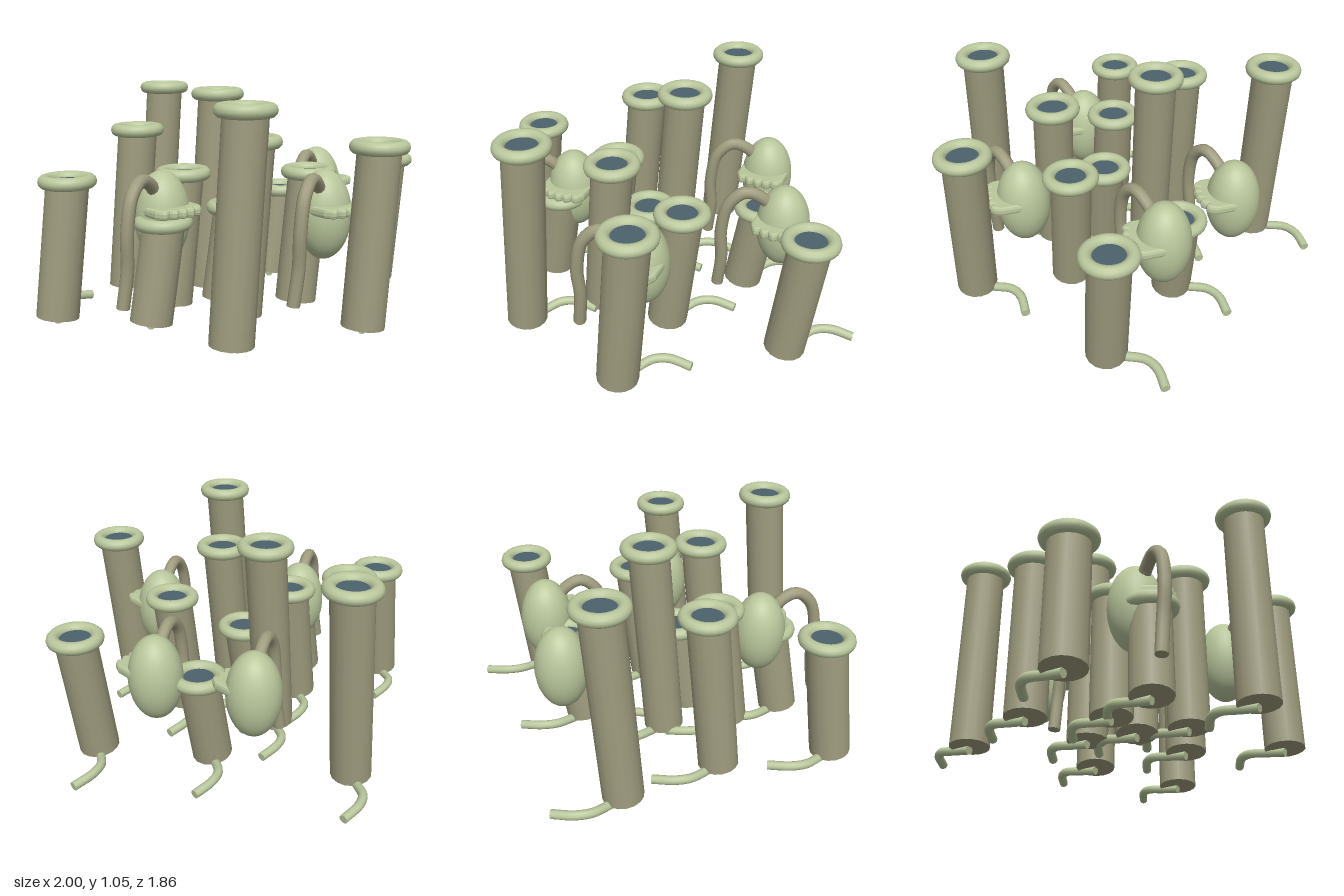
import * as THREE from 'three';

const green = new THREE.MeshStandardMaterial({ color: 0xb9c79c });
green.name = 'paleGreen';
const tan = new THREE.MeshStandardMaterial({ color: 0x9e9b7d });
tan.name = 'driedTan';
const dark = new THREE.MeshStandardMaterial({ color: 0x4b626b });
dark.name = 'darkHollow';

// rim centres: x, z, height
const TUBES = [
  [0.08, -0.72, 1.02], [-0.31, -0.4, 0.84], [-0.83, -0.185, 0.665], [0.01, -0.15, 1.02],
  [0.43, -0.135, 0.49], [-0.3, -0.025, 0.665], [-0.08, 0.085, 0.49], [-0.54, 0.15, 0.49],
  [-0.155, 0.32, 0.84], [0.195, 0.32, 0.665], [0.79, 0.3, 0.665], [-0.44, 0.6, 1.02],
  [0.155, 0.795, 0.84],
];
// bulb centres: x, z
const BULBS = [[0.365, -0.43], [0.58, -0.01], [-0.5, 0.085], [0.09, 0.53]];
const LEAN = 0.075, BASE = 0.04;

function add(group, name, geometry, material) {
  const mesh = new THREE.Mesh(geometry, material);
  mesh.name = name;
  group.add(mesh);
  return mesh;
}

// round hose through points, closed with end discs
function hose(group, name, pts, radius, material) {
  const curve = new THREE.CatmullRomCurve3(pts.map((p) => new THREE.Vector3(...p)));
  add(group, name, new THREE.TubeGeometry(curve, 32, radius, 10), material);
  for (const t of [0, 1]) {
    const cap = add(group, name + 'End', new THREE.CircleGeometry(radius, 10), material);
    const p = curve.getPoint(t);
    cap.position.copy(p);
    cap.lookAt(p.clone().addScaledVector(curve.getTangent(t), t ? 1 : -1));
  }
}

function makeTube(x, z, h) {
  const g = new THREE.Group();
  g.name = 'pitcherTube';
  // leaning stalk
  const a = new THREE.Vector3(-LEAN, BASE, 0), b = new THREE.Vector3(0, h - 0.015, 0);
  const axis = b.clone().sub(a);
  const stalk = add(g, 'stalk', new THREE.CylinderGeometry(0.098, 0.098, axis.length(), 16), tan);
  stalk.position.copy(a).add(b).multiplyScalar(0.5);
  stalk.quaternion.setFromUnitVectors(new THREE.Vector3(0, 1, 0), axis.normalize());
  // rolled rim and dark mouth
  const rim = add(g, 'rim', new THREE.TorusGeometry(0.102, 0.031, 12, 32).rotateX(Math.PI / 2), green);
  rim.position.y = h;
  const mouth = add(g, 'mouth', new THREE.CylinderGeometry(0.078, 0.078, 0.02, 24), dark);
  mouth.position.y = h - 0.005;
  // creeping root
  hose(g, 'root', [
    [-LEAN, 0.024, 0], [-0.025, 0.036, -0.08], [0.03, 0.05, -0.155],
    [0.1, 0.052, -0.188], [0.21, 0.04, -0.19],
  ], 0.022, green);
  g.position.set(x, 0, z);
  return g;
}

// scalloped lip plate, reaching towards +z
function lipGeometry() {
  const s = new THREE.Shape();
  s.moveTo(-0.11, 0);
  const n = 30;
  for (let i = 0; i <= n; i++) {
    const t = i / n;
    s.lineTo(-0.11 + 0.22 * t, 0.12 + 0.025 * Math.sin(Math.PI * t) + 0.028 * Math.abs(Math.sin(5 * Math.PI * t)));
  }
  s.lineTo(0.11, 0);
  return new THREE.ExtrudeGeometry(s, {
    depth: 0.016, bevelEnabled: true, bevelThickness: 0.014, bevelSize: 0.012, bevelSegments: 2,
  }).rotateX(Math.PI / 2);
}

function makeBulb(x, z) {
  const g = new THREE.Group();
  g.name = 'hangingBulb';
  const bulb = add(g, 'bulb', new THREE.SphereGeometry(1, 32, 20).scale(0.128, 0.21, 0.128), green);
  bulb.position.y = 0.505;
  const lip = add(g, 'scallopedLip', lipGeometry(), green);
  lip.position.y = 0.55;
  // arched stem
  hose(g, 'archedStem', [
    [-0.04, 0.58, 0.02], [-0.09, 0.66, 0.05], [-0.165, 0.695, 0.085], [-0.235, 0.635, 0.115],
    [-0.268, 0.48, 0.125], [-0.265, 0.32, 0.115], [-0.285, 0.15, 0.105],
  ], 0.03, tan);
  g.position.set(x, 0, z);
  return g;
}

export function createModel() {
  const model = new THREE.Group();
  model.name = 'pitcherCluster';
  for (const t of TUBES) model.add(makeTube(...t));
  for (const b of BULBS) model.add(makeBulb(...b));
  return model;
}
